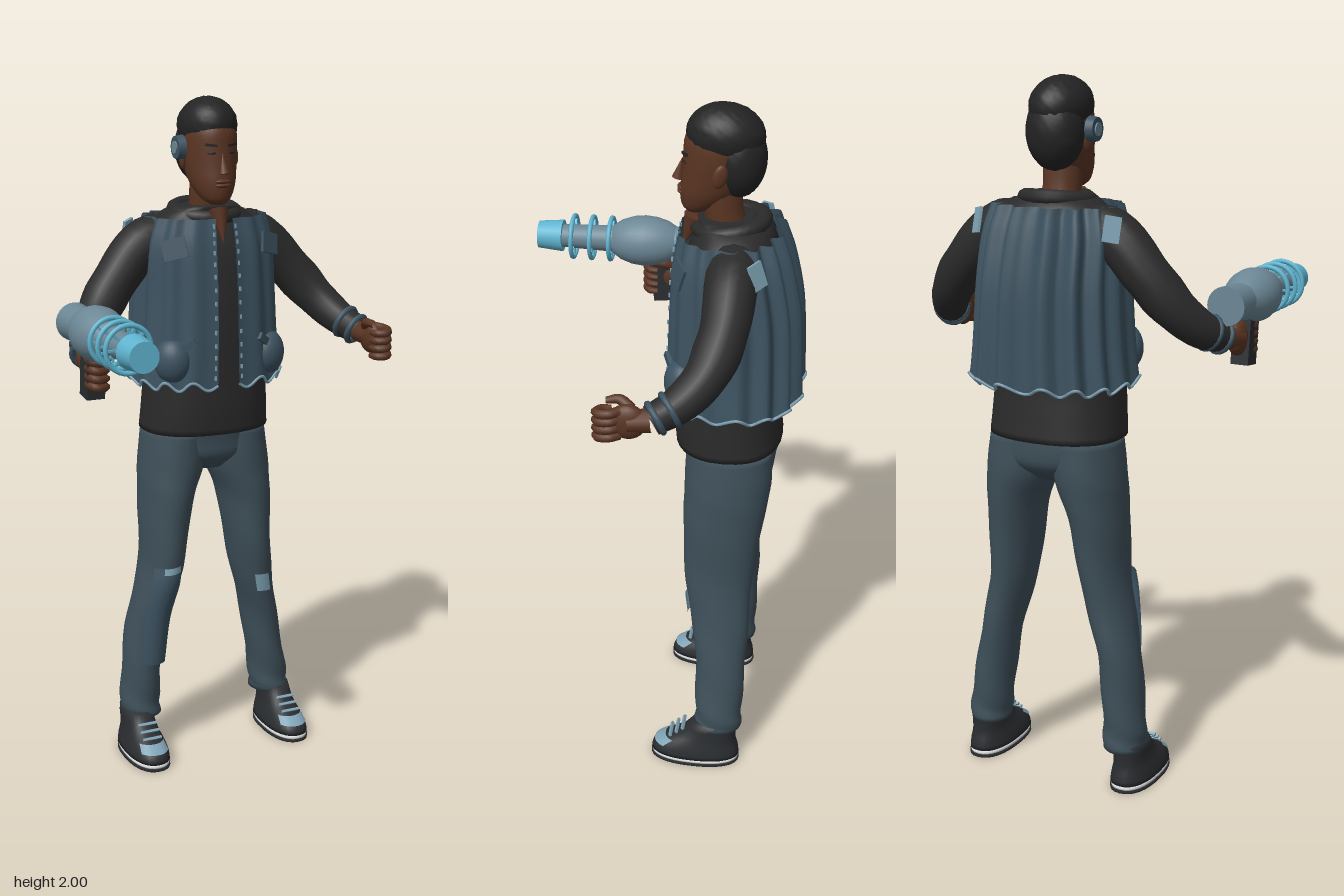
import * as THREE from 'three';

const mat = (name, color, side = THREE.FrontSide) => {
  const m = new THREE.MeshStandardMaterial({ color, side });
  m.name = name;
  return m;
};
const M = {
  cloth: mat('dark shirt cloth', 0x2b2a2a, THREE.DoubleSide),
  hair: mat('black hair', 0x232323),
  skin: mat('brown skin', 0x5a3523),
  vest: mat('blue grey vest', 0x3c5260, THREE.DoubleSide),
  pants: mat('slate trousers', 0x3e4f59, THREE.DoubleSide),
  shoe: mat('charcoal shoe', 0x2a2d30),
  sole: mat('white sole', 0xf2f2f2),
  metal: mat('grey blue metal', 0x6c8795),
  glow: mat('cyan trim', 0x5fb4d0),
  patch: mat('pale blue patch', 0x7fa3b5, THREE.DoubleSide),
};

// Stacked elliptical sections [y, cx, cz, rx, rz], bottom to top; angle 0 faces the front
function surface(sections, { a0 = 0, a1 = Math.PI * 2, n = 32, sub = 4, e = 1, cap = true, wave } = {}) {
  const full = a1 - a0 > 6.28;
  const spline = (f) => new THREE.CatmullRomCurve3(sections.map(f), false, 'catmullrom', 0.5);
  const centres = spline((s) => new THREE.Vector3(s[1], s[0], s[2]));
  const radii = spline((s) => new THREE.Vector3(s[3], s[4], 0));
  const rows = (sections.length - 1) * sub;
  const pow = (v) => Math.sign(v) * Math.abs(v) ** e;
  const pos = [], index = [], cols = full ? n : n + 1;
  const at = (t, a, k = 1) => {
    const c = centres.getPoint(t), r = radii.getPoint(t);
    const [w, dy] = wave ? wave(a, t) : [0, 0];
    return new THREE.Vector3(c.x + pow(Math.sin(a)) * (r.x + w) * k, c.y + dy, c.z + pow(Math.cos(a)) * (r.y + w) * k);
  };
  const ring = (t, k) => {
    for (let j = 0; j < cols; j++) pos.push(...at(t, a0 + (a1 - a0) * j / n, k));
  };
  if (full && cap) ring(0, 0.001);
  for (let i = 0; i <= rows; i++) ring(i / rows, 1);
  if (full && cap) ring(1, 0.001);
  const total = pos.length / 3 / cols;
  for (let i = 0; i < total - 1; i++) for (let j = 0; j < n; j++) {
    const k = (j + 1) % cols, a = i * cols + j, b = i * cols + k;
    index.push(a, b, b + cols, a, b + cols, a + cols);
  }
  const g = new THREE.BufferGeometry();
  g.setAttribute('position', new THREE.Float32BufferAttribute(pos, 3));
  g.setIndex(index);
  g.computeVertexNormals();
  g.userData.at = at;
  return g;
}

// Tube whose radius follows a list of values
function limb(points, radii, seg = 24, sides = 16) {
  const curve = new THREE.CatmullRomCurve3(points.map((p) => new THREE.Vector3(...p)));
  const g = new THREE.TubeGeometry(curve, seg, 1, sides), p = g.attributes.position, v = new THREE.Vector3();
  for (let i = 0; i < p.count; i++) {
    const t = Math.floor(i / (sides + 1)) / seg, c = curve.getPointAt(t);
    const f = t * (radii.length - 1), k = Math.min(Math.floor(f), radii.length - 2);
    const r = THREE.MathUtils.lerp(radii[k], radii[k + 1], f - k);
    v.fromBufferAttribute(p, i).sub(c).multiplyScalar(r).add(c);
    p.setXYZ(i, v.x, v.y, v.z);
  }
  return g;
}

export function createModel() {
  const root = new THREE.Group();
  root.name = 'figure';
  const add = (name, geo, m, pos = [0, 0, 0], rot = [0, 0, 0], scale = [1, 1, 1], parent = root) => {
    const mesh = new THREE.Mesh(geo, m);
    mesh.name = name;
    mesh.position.set(...pos);
    mesh.rotation.set(...rot);
    mesh.scale.set(...scale);
    parent.add(mesh);
    return mesh;
  };
  const ball = new THREE.SphereGeometry(1, 24, 16), box = new THREE.BoxGeometry(1, 1, 1);

  // Trousers
  add('pelvis', surface([[0.905, 0.018, -0.225, 0.07, 0.07], [0.95, 0.017, -0.23, 0.17, 0.118],
    [1.0, 0.015, -0.232, 0.188, 0.127], [1.07, 0.015, -0.225, 0.185, 0.13]]), M.pants);
  const legs = {
    right: [[0.12, -0.2, -0.232, 0.062, 0.07], [0.2, -0.2, -0.232, 0.06, 0.07], [0.4, -0.182, -0.23, 0.058, 0.078],
      [0.6, -0.133, -0.215, 0.064, 0.098], [0.8, -0.113, -0.222, 0.078, 0.115], [0.92, -0.09, -0.23, 0.097, 0.124], [1.03, -0.08, -0.23, 0.095, 0.122]],
    left: [[0.12, 0.247, -0.232, 0.06, 0.07], [0.2, 0.24, -0.232, 0.06, 0.07], [0.4, 0.207, -0.23, 0.055, 0.078],
      [0.6, 0.166, -0.215, 0.062, 0.098], [0.8, 0.148, -0.222, 0.078, 0.115], [0.92, 0.123, -0.23, 0.099, 0.124], [1.03, 0.112, -0.23, 0.095, 0.122]],
  };
  const folds = (a, t) => [0.003 * Math.sin(t * 38 + a * 2) * (1 - t), 0];
  for (const side in legs) add(side + 'Leg', surface(legs[side], { wave: folds, sub: 6 }), M.pants);
  add('rightShinPanel', surface([[0.3, -0.178, -0.23, 0.058, 0.086], [0.45, -0.168, -0.225, 0.064, 0.1],
    [0.56, -0.147, -0.215, 0.07, 0.112], [0.62, -0.14, -0.215, 0.068, 0.108]], { a0: -0.75, a1: 0.6, n: 12 }), M.vest);
  add('rightPanelTopTrim', surface([[0.6, -0.143, -0.215, 0.071, 0.113], [0.62, -0.14, -0.215, 0.07, 0.11]], { a0: -0.3, a1: 0.55, n: 8 }), M.patch);
  add('leftKneePatch', surface([[0.49, 0.188, -0.222, 0.062, 0.094], [0.55, 0.176, -0.218, 0.064, 0.1]], { a0: -0.45, a1: 0.25, n: 8 }), M.patch);

  // Shoes
  for (const [side, x] of [['right', -0.218], ['left', 0.258]]) {
    const shoe = new THREE.Group();
    shoe.name = side + 'Shoe';
    shoe.position.x = x;
    root.add(shoe);
    const part = (name, secs, m, o) => add(name, surface(secs, { e: 0.85, sub: 2, ...o }), m, [0, 0, 0], [0, 0, 0], [1, 1, 1], shoe);
    part('outsole', [[0, 0, -0.165, 0.064, 0.135], [0.009, 0, -0.165, 0.064, 0.135]], M.shoe);
    part('midsole', [[0.009, 0, -0.165, 0.061, 0.132], [0.021, 0, -0.165, 0.061, 0.132]], M.sole);
    part('upper', [[0.021, 0, -0.165, 0.063, 0.134], [0.045, 0, -0.168, 0.06, 0.128], [0.07, 0, -0.182, 0.053, 0.107],
      [0.095, 0, -0.205, 0.048, 0.083], [0.14, 0, -0.225, 0.045, 0.066]], M.shoe);
    part('toePatch', [[0.05, 0, -0.168, 0.061, 0.128], [0.072, 0, -0.182, 0.055, 0.109]], M.patch, { a0: -0.75, a1: 0.75, n: 10 });
    for (let i = 0; i < 3; i++)
      add('lace', box, M.patch, [0, 0.084 + i * 0.016, -0.09 - i * 0.019], [0.8, 0, 0], [0.06, 0.008, 0.008], shoe);
  }

  // Shirt and collar
  add('shirt', surface([[1.03, 0.015, -0.222, 0.195, 0.152], [1.1, 0.015, -0.215, 0.19, 0.15], [1.2, 0.015, -0.21, 0.185, 0.145],
    [1.4, 0.018, -0.21, 0.185, 0.145], [1.55, 0.018, -0.215, 0.185, 0.135], [1.63, 0.018, -0.22, 0.168, 0.115],
    [1.67, 0.018, -0.22, 0.13, 0.095], [1.695, 0.018, -0.2, 0.078, 0.08]], { e: 0.85 }), M.cloth);
  add('collar', new THREE.TorusGeometry(0.075, 0.022, 10, 28), M.cloth, [0.018, 1.675, -0.21], [Math.PI / 2 + 0.15, 0, 0], [1.15, 1.15, 1]);
  add('neckOpening', new THREE.ConeGeometry(0.03, 0.1, 12), M.skin, [0.018, 1.64, -0.095], [Math.PI - 0.35, 0, 0]);

  // Open pleated vest with scalloped hem
  const pleat = (a, t) => {
    const back = 0.5 - 0.5 * Math.cos(a);
    return [(0.003 + 0.012 * back) * Math.cos(a * 15), t === 0 ? 0.013 * Math.cos(a * 15) : 0];
  };
  const vestGeo = surface([[1.185, 0.02, -0.23, 0.225, 0.185], [1.3, 0.02, -0.228, 0.212, 0.183], [1.45, 0.02, -0.225, 0.203, 0.176],
    [1.58, 0.018, -0.215, 0.195, 0.158], [1.665, 0.018, -0.208, 0.172, 0.135]],
  { a0: 0.1, a1: Math.PI * 2 - 0.1, n: 120, e: 0.82, wave: pleat });
  add('vest', vestGeo, M.vest);
  const hem = [];
  for (let i = 0; i <= 120; i++) hem.push(vestGeo.userData.at(0, 0.1 + (Math.PI * 2 - 0.2) * i / 120, 1.005));
  add('vestHemTrim', new THREE.TubeGeometry(new THREE.CatmullRomCurve3(hem), 240, 0.0045, 5), M.patch);
  for (const s of [-1, 1]) {
    // Front stitching, pockets and shoulder patches
    for (let i = 0; i < 14; i++) {
      const p = vestGeo.userData.at(0.05 + i * 0.068, s < 0 ? Math.PI * 2 - 0.13 : 0.13, 1.01);
      add('stitch', box, M.patch, p.toArray(), [0, 0, 0], [0.005, 0.012, 0.006]);
    }
    add('hipPocket', ball, M.vest, [0.02 + s * 0.155, 1.26, -0.1], [0, s * 0.7, 0], [0.055, 0.065, 0.045]);
    add('pocketFlap', box, M.vest, [0.02 + s * 0.13, 1.3, -0.066], [0, s * 0.5, -s * 0.6], [0.075, 0.022, 0.012]);
    add('chestPatch', box, M.vest, [0.02 + s * 0.15, 1.585, -0.088], [-0.2, s * 0.5, s * -0.15], [0.07, 0.06, 0.008]);
    add('shoulderPatch', box, M.patch, [0.015 + s * 0.205, 1.615, -0.3], [0.3, s * -0.7, 0], [0.045, 0.07, 0.008]);
  }

  // Arms, cuffs and hands
  const arms = {
    left: { s: 1, path: [[0.1, 1.6, -0.23], [0.2, 1.585, -0.232], [0.3, 1.49, -0.225], [0.375, 1.4, -0.19], [0.425, 1.34, -0.13], [0.46, 1.305, -0.06]], hand: [0.465, 1.3, 0.0] },
    right: { s: -1, path: [[-0.07, 1.6, -0.23], [-0.165, 1.585, -0.232], [-0.255, 1.49, -0.225], [-0.325, 1.4, -0.195], [-0.375, 1.34, -0.14], [-0.41, 1.305, -0.06]], hand: [-0.425, 1.295, 0.005] },
  };
  for (const side in arms) {
    const { s, path, hand } = arms[side];
    add(side + 'Sleeve', limb(path, [0.065, 0.076, 0.07, 0.068, 0.064, 0.066, 0.058, 0.055, 0.048, 0.042]), M.cloth);
    const [q, w] = [path[4], path[5]].map((p) => new THREE.Vector3(...p));
    const dir = w.clone().sub(q).normalize();
    for (const f of [0.35, 0.85]) {
      const cuff = add(side + 'CuffBand', new THREE.TorusGeometry(0.047 - f * 0.006, 0.009, 8, 20), M.vest, q.clone().lerp(w, f).toArray());
      cuff.quaternion.setFromUnitVectors(new THREE.Vector3(0, 0, 1), dir);
    }
    const [hx, hy, hz] = hand;
    add(side + 'Wrist', limb([path[5], [hx, hy, hz]], [0.032, 0.03], 4, 12), M.skin);
    add(side + 'Palm', ball, M.skin, hand, [0, 0, 0], [0.026, 0.05, 0.05]);
    for (let i = 0; i < 4; i++) {
      const y = hy + 0.032 - i * 0.023;
      add(side + 'Finger', limb([[hx + s * 0.006, y, hz + 0.02], [hx + s * 0.022, y - 0.003, hz + 0.05], [hx + s * 0.008, y - 0.008, hz + 0.082],
        [hx - s * 0.02, y - 0.01, hz + 0.07], [hx - s * 0.025, y - 0.01, hz + 0.045]], [0.014, 0.013, 0.013, 0.012, 0.008], 12, 8), M.skin);
    }
    add(side + 'Thumb', limb([[hx - s * 0.01, hy + 0.03, hz - 0.01], [hx - s * 0.028, hy + 0.048, hz + 0.025], [hx - s * 0.022, hy + 0.045, hz + 0.06]],
      [0.016, 0.014, 0.009], 10, 8), M.skin);
  }

  // Neck and head
  add('neck', limb([[0.018, 1.62, -0.21], [0.018, 1.7, -0.19], [0.018, 1.79, -0.18]], [0.062, 0.053, 0.055], 8), M.skin);
  add('face', surface([[1.702, 0.015, -0.113, 0.02, 0.022], [1.72, 0.015, -0.126, 0.043, 0.05], [1.76, 0.016, -0.15, 0.063, 0.079],
    [1.81, 0.017, -0.17, 0.073, 0.094], [1.86, 0.018, -0.176, 0.077, 0.097], [1.91, 0.018, -0.18, 0.075, 0.096], [1.96, 0.018, -0.185, 0.055, 0.07]]), M.skin);
  add('nose', new THREE.ConeGeometry(0.018, 0.06, 10), M.skin, [0.016, 1.82, -0.071], [-0.2, 0, 0], [0.9, 1, 0.9]);
  for (const y of [1.758, 1.769]) add('lip', ball, M.skin, [0.016, y, -0.076], [0, 0, 0], [0.024, 0.007, 0.012]);
  for (const s of [-1, 1]) {
    add('eye', ball, M.hair, [0.017 + s * 0.03, 1.848, -0.088], [0, s * 0.35, 0], [0.013, 0.004, 0.005]);
    add('eyebrow', box, M.hair, [0.017 + s * 0.032, 1.87, -0.087], [0, s * 0.4, s * 0.1], [0.034, 0.007, 0.008]);
    add('ear', ball, M.skin, [0.018 + s * 0.08, 1.83, -0.185], [-0.2, s * 0.3, 0], [0.01, 0.033, 0.02]);
  }
  // Textured hair: crown plus back
  const curls = (sx, sy, sz) => {
    const g = new THREE.SphereGeometry(1, 48, 32), p = g.attributes.position;
    for (let i = 0; i < p.count; i++) {
      const x = p.getX(i), y = p.getY(i), z = p.getZ(i);
      const k = 1 + 0.018 * Math.sin(x * 19 + y * 7) * Math.sin(y * 17) * Math.cos(z * 18 + x * 5);
      p.setXYZ(i, x * k * sx, y * k * sy, z * k * sz);
    }
    g.computeVertexNormals();
    return g;
  };
  add('hairCrown', curls(0.083, 0.08, 0.104), M.hair, [0.018, 1.92, -0.19], [-0.12, 0, 0]);
  add('hairBack', curls(0.081, 0.105, 0.075), M.hair, [0.018, 1.855, -0.225]);

  // Ear piece
  add('earPiece', new THREE.CylinderGeometry(0.032, 0.036, 0.022, 20), M.vest, [-0.075, 1.86, -0.18], [0, 0, Math.PI / 2]);
  add('earPieceCap', new THREE.CylinderGeometry(0.018, 0.018, 0.006, 16), M.metal, [-0.087, 1.86, -0.18], [0, 0, Math.PI / 2]);

  // Hand-held launcher pointing forward
  const gun = new THREE.Group();
  gun.name = 'launcher';
  gun.position.set(-0.43, 1.4, 0);
  root.add(gun);
  const turned = (name, pts, m) => add(name, new THREE.LatheGeometry(pts.map((p) => new THREE.Vector2(...p)), 28), m,
    [0, 0, 0], [Math.PI / 2, 0, 0], [1, 1, 1], gun);
  turned('rearBarrel', [[0, -0.1], [0.054, -0.1], [0.054, -0.1], [0.048, 0.002]], M.metal);
  turned('chamber', [[0.048, 0], [0.063, 0.025], [0.073, 0.06], [0.076, 0.095], [0.072, 0.13], [0.06, 0.165], [0.043, 0.19], [0.036, 0.19]], M.metal);
  turned('frontBarrel', [[0.04, 0.185], [0.034, 0.35]], M.metal);
  turned('muzzle', [[0, 0.345], [0.048, 0.345], [0.048, 0.345], [0.041, 0.42], [0.041, 0.42], [0, 0.42]], M.glow);
  for (const z of [0.197, 0.255, 0.312]) {
    add('coilRing', new THREE.TorusGeometry(0.063, 0.007, 8, 32), M.glow, [0, 0, z], [0, 0, 0], [1, 1, 1], gun);
    for (let i = 0; i < 4; i++)
      add('coilSpoke', box, M.glow, [0, 0, z], [0, 0, i * Math.PI / 4], [0.12, 0.006, 0.006], gun);
  }
  add('grip', box, M.shoe, [0, -0.12, 0.04], [0.12, 0, 0], [0.052, 0.13, 0.06], gun);

  return root;
}
